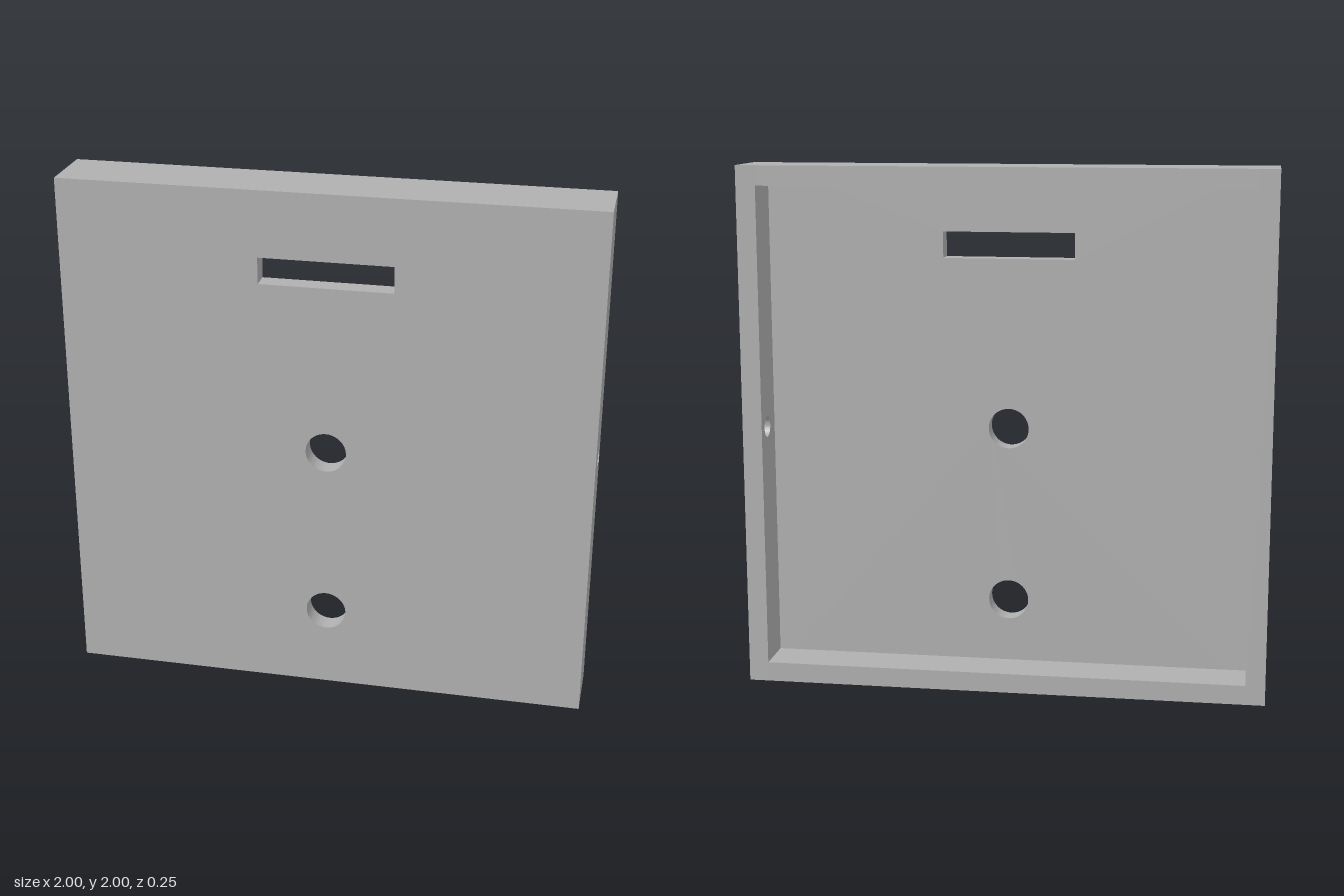
import * as THREE from 'three';
import { toCreasedNormals } from 'three/addons/utils/BufferGeometryUtils.js';

const SIZE = 2, DEPTH = 0.25, WALL = 0.075;
const INNER = SIZE - 2 * WALL;

// Rectangle centred on (cx, cy), as a shape or a hole
function rect(target, cx, cy, w, h) {
  target.moveTo(cx - w / 2, cy - h / 2);
  target.lineTo(cx + w / 2, cy - h / 2);
  target.lineTo(cx + w / 2, cy + h / 2);
  target.lineTo(cx - w / 2, cy + h / 2);
  target.closePath();
  return target;
}

const roundHole = (x, y, r) => new THREE.Path().absarc(x, y, r, 0, Math.PI * 2, true);

// Plate of the given thickness, with smooth round holes
function plate(shape, depth) {
  const geometry = new THREE.ExtrudeGeometry(shape, { depth, bevelEnabled: false, curveSegments: 40 });
  return toCreasedNormals(geometry, 0.6);
}

export function createModel() {
  const group = new THREE.Group();
  group.name = 'mountingBox';
  const grey = new THREE.MeshStandardMaterial({ color: 0xb0b0b0 });
  grey.name = 'grey';

  const add = (name, geometry) => {
    const mesh = new THREE.Mesh(geometry, grey);
    mesh.name = name;
    group.add(mesh);
  };

  // Front panel with a slot and two round holes
  const face = rect(new THREE.Shape(), 0, 1, INNER, SIZE);
  face.holes.push(
    rect(new THREE.Path(), 0, 1.7, 0.5, 0.1),
    roundHole(0, 1, 0.077),
    roundHole(0, 0.32, 0.077)
  );
  add('frontPanel', plate(face, WALL).translate(0, 0, DEPTH / 2 - WALL));

  // Side walls, each drilled with a small hole
  const side = rect(new THREE.Shape(), 0, 1, DEPTH, SIZE);
  side.holes.push(roundHole(0.048, 1, 0.039));
  for (const [name, x] of [['leftWall', 1 - WALL], ['rightWall', -1]]) {
    add(name, plate(side, WALL).rotateY(Math.PI / 2).translate(x, 0, 0));
  }

  // Top and bottom walls behind the panel
  for (const [name, y] of [['topWall', SIZE - WALL / 2], ['bottomWall', WALL / 2]]) {
    add(name, new THREE.BoxGeometry(INNER, WALL, DEPTH - WALL).translate(0, y, -WALL / 2));
  }

  return group;
}
